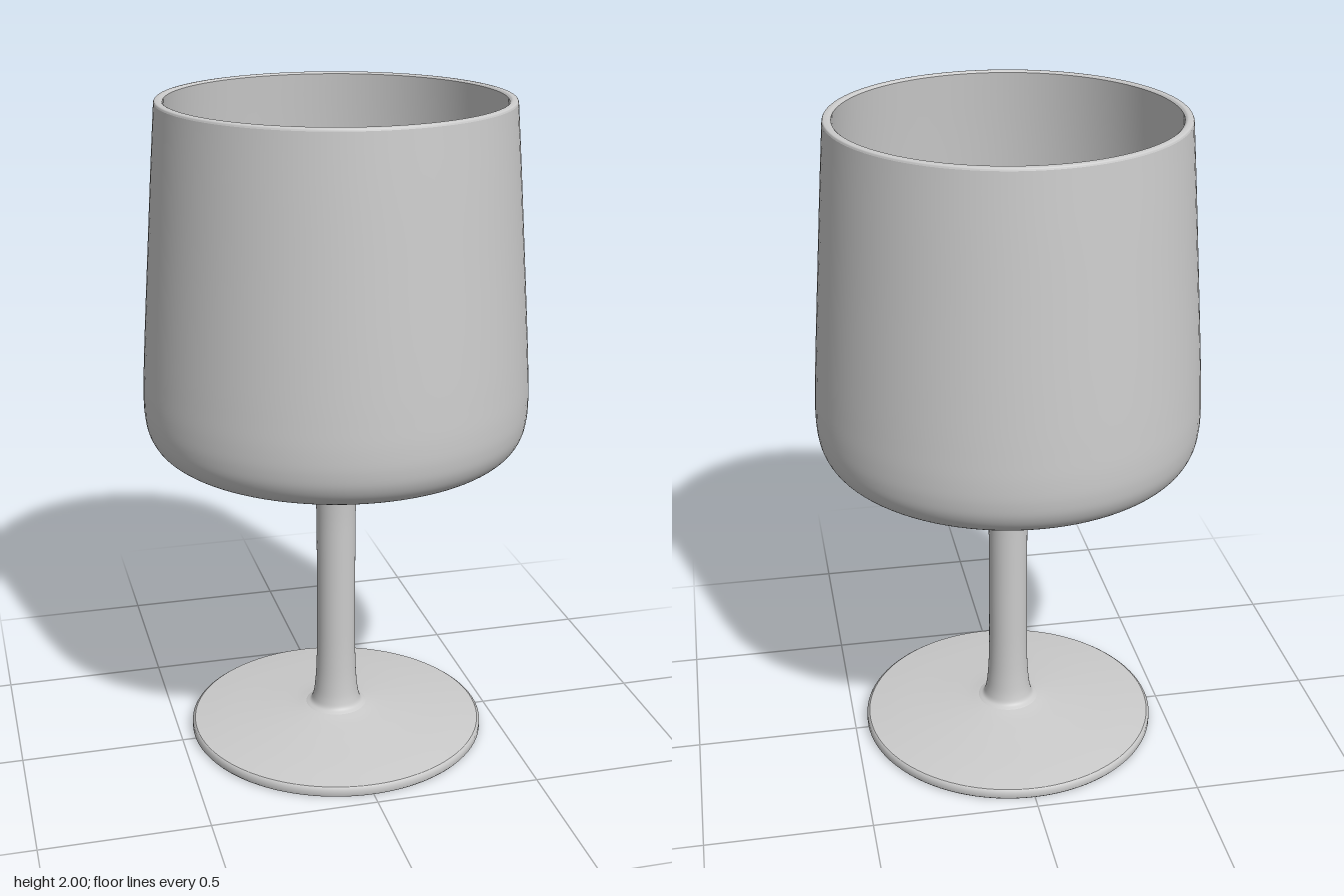
import * as THREE from 'three';

const material = new THREE.MeshStandardMaterial({ color: 0xcccccc });
const SEGMENTS = 96;

// Turns a list of [radius, height] points; "curved" fits a smooth spline through them.
function turned(name, profile, curved = true) {
  let points = profile.map(([r, y]) => new THREE.Vector2(r, y));
  if (curved) {
    const path = new THREE.CatmullRomCurve3(profile.map(([r, y]) => new THREE.Vector3(r, y, 0)), false, 'centripetal');
    points = path.getPoints(profile.length * 6).map((p) => new THREE.Vector2(Math.max(p.x, 0), p.y));
  }
  const mesh = new THREE.Mesh(new THREE.LatheGeometry(points, SEGMENTS), material);
  mesh.name = name;
  return mesh;
}

function group(name, ...parts) {
  const g = new THREE.Group();
  g.name = name;
  g.add(...parts);
  return g;
}

export function createModel() {
  // Thin disc with a gently sloping top
  const foot = group('foot',
    turned('footUnderside', [[0, 0], [0.455, 0]], false),
    turned('footEdge', [[0.455, 0], [0.46, 0.006], [0.46, 0.025], [0.452, 0.031]], false),
    turned('footTop', [[0.452, 0.031], [0.36, 0.043], [0.22, 0.058], [0.13, 0.068], [0.095, 0.074]]));

  // Slender column flaring at both ends
  const stem = turned('stem', [
    [0.095, 0.074], [0.08, 0.083], [0.072, 0.105], [0.065, 0.16], [0.061, 0.25], [0.06, 0.4],
    [0.06, 0.6], [0.061, 0.74], [0.065, 0.8], [0.076, 0.838], [0.09, 0.857], [0.107, 0.867],
  ]);

  // Tapered bowl: outer wall, narrow rim and hollow inside
  const bowl = group('bowl',
    turned('bowlOutside', [
      [0.107, 0.867], [0.2, 0.893], [0.3, 0.921], [0.4, 0.939], [0.47, 0.95], [0.515, 0.965],
      [0.545, 0.99], [0.564, 1.025], [0.573, 1.07], [0.575, 1.13], [0.571, 1.22],
      [0.562, 1.36], [0.545, 1.6], [0.53, 1.81], [0.516, 1.992],
    ]),
    turned('rim', [[0.516, 1.992], [0.513, 1.998], [0.506, 2], [0.497, 2], [0.49, 1.995]]),
    turned('bowlInside', [
      [0.49, 1.995], [0.505, 1.81], [0.52, 1.6], [0.537, 1.36], [0.546, 1.22], [0.549, 1.13],
      [0.545, 1.075], [0.53, 1.03], [0.505, 0.998], [0.465, 0.979], [0.4, 0.966],
      [0.3, 0.949], [0.2, 0.926], [0.1, 0.908], [0, 0.902],
    ]));

  return group('goblet', foot, stem, bowl);
}
